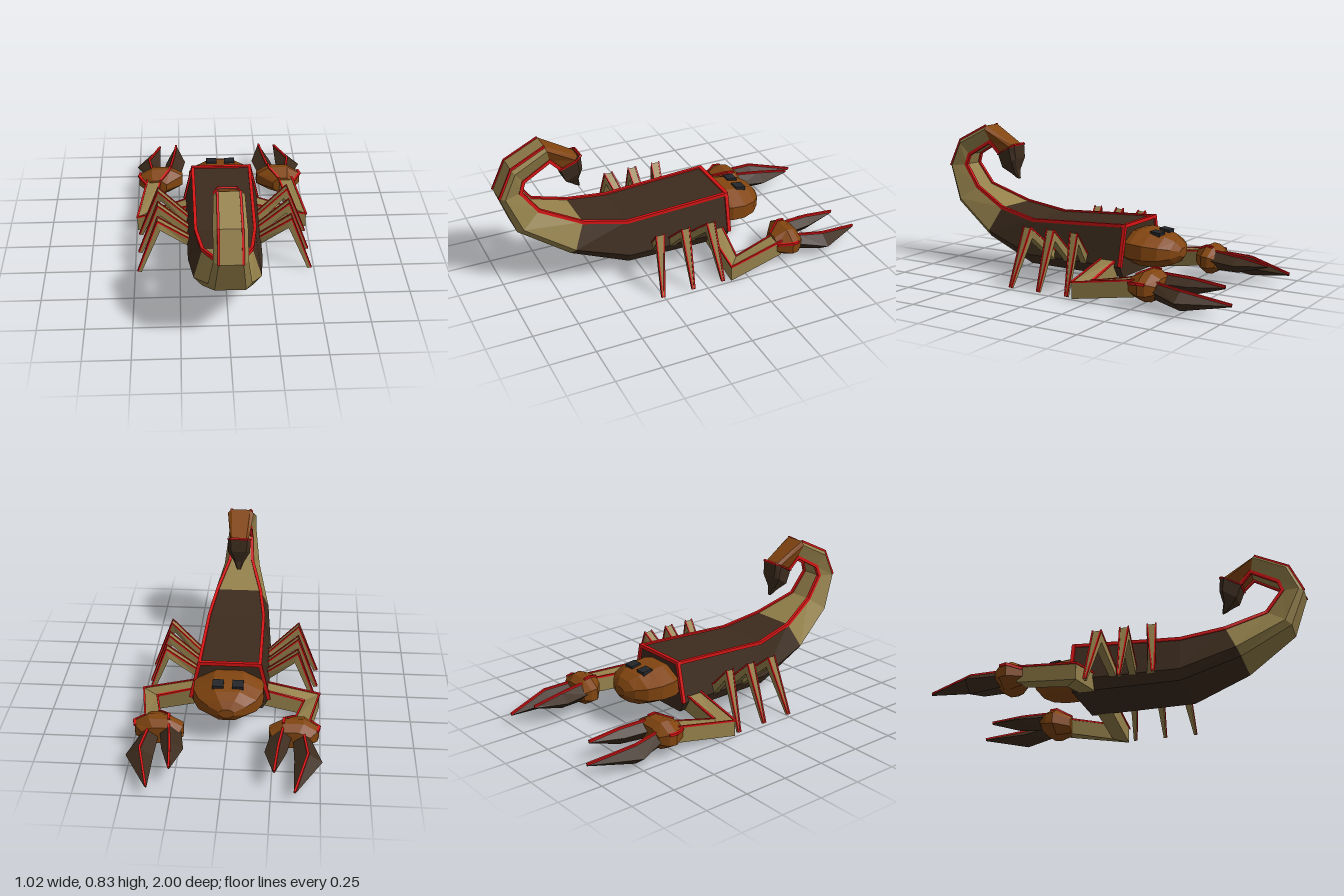
import * as THREE from 'three';

const V = (x, y, z) => new THREE.Vector3(x, y, z);
const X = V(1, 0, 0), Y = V(0, 1, 0), Z = V(0, 0, 1);
const mat = (color) => new THREE.MeshStandardMaterial({ color, flatShading: true });
const DARK = mat(0x3d2c1e), TAN = mat(0x94804a), ORANGE = mat(0x824510), RED = mat(0xd81414), EYE = mat(0x24262a);

// Closed, flat-shaded skin over a row of rings; the winding is turned outwards by signed volume
function loft(parent, name, rings, material) {
  const n = rings[0].length, tris = [];
  for (let i = 0; i < rings.length - 1; i++) {
    for (let j = 0; j < n; j++) {
      const k = (j + 1) % n, a = rings[i][j], b = rings[i][k], c = rings[i + 1][k], d = rings[i + 1][j];
      tris.push([a, b, c], [a, c, d]);
    }
  }
  const first = rings[0], last = rings[rings.length - 1];
  for (let j = 1; j < n - 1; j++) {
    tris.push([first[0], first[j + 1], first[j]], [last[0], last[j], last[j + 1]]);
  }
  const o = first[0];
  let volume = 0;
  for (const [a, b, c] of tris) {
    volume += a.clone().sub(o).dot(b.clone().sub(o).cross(c.clone().sub(o)));
  }
  if (volume < 0) tris.forEach((t) => t.reverse());
  const geometry = new THREE.BufferGeometry().setFromPoints(tris.flat());
  geometry.computeVertexNormals();
  const mesh = new THREE.Mesh(geometry, material);
  mesh.name = name;
  parent.add(mesh);
  return mesh;
}

// Mitred rectangular rings along a path; w is the half-size along ref, h across it
function pathRings(points, sizes, ref) {
  return points.map((p, i) => {
    const before = i > 0 ? p.clone().sub(points[i - 1]).normalize() : null;
    const after = i < points.length - 1 ? points[i + 1].clone().sub(p).normalize() : null;
    const t = (before || after).clone().add(after || before).normalize();
    const stretch = 1 / Math.max(0.5, t.dot(before || after));
    const across = t.clone().cross(ref).normalize();
    const [w, h] = sizes[i];
    return [[1, 1], [-1, 1], [-1, -1], [1, -1]].map(([a, b]) =>
      p.clone().addScaledVector(ref, a * w).addScaledVector(across, b * h * stretch));
  });
}

// Thin red strip along a row of points
function trim(parent, name, points, r, ref) {
  loft(parent, name, pathRings(points, points.map(() => [r, r]), ref), RED);
}

// Eight-sided ring facing z
function octagon(cx, cy, z, hw, hh) {
  return Array.from({ length: 8 }, (_, i) => {
    const a = (i + 0.5) * Math.PI / 4, k = 1 / Math.cos(Math.PI / 8);
    return V(cx + Math.cos(a) * hw * k, cy + Math.sin(a) * hh * k, z);
  });
}

// Six-sided body ring from its inner (top) and outer (bottom) edge
function bodyRing([zi, yi, zo, yo, wi, wm, wo]) {
  const zm = zo + (zi - zo) * 0.22, ym = yo + (yi - yo) * 0.22;
  return [V(wi, yi, zi), V(wm, ym, zm), V(wo, yo, zo), V(-wo, yo, zo), V(-wm, ym, zm), V(-wi, yi, zi)];
}

function buildBody(parent) {
  const rings = [
    [-0.27, 0.355, -0.27, 0.075, 0.165, 0.215, 0.18],
    [0.33, 0.325, 0.33, 0.08, 0.16, 0.205, 0.175],
    [0.57, 0.37, 0.65, 0.197, 0.13, 0.178, 0.135],
    [0.79, 0.465, 0.92, 0.37, 0.07, 0.11, 0.078],
    [0.88, 0.59, 0.996, 0.577, 0.06, 0.086, 0.06],
    [0.86, 0.65, 0.922, 0.735, 0.055, 0.085, 0.058],
    [0.71, 0.735, 0.735, 0.828, 0.05, 0.078, 0.056],
    [0.645, 0.665, 0.55, 0.722, 0.04, 0.055, 0.042],
  ].map(bodyRing);
  loft(parent, 'body', rings.slice(0, 3), DARK);
  loft(parent, 'tail', rings.slice(2, 7), TAN);
  loft(parent, 'tailEnd', rings.slice(6), ORANGE);

  const stinger = [
    [0.655, 0.665, 0.538, 0.725, 0.05, 0.068, 0.05],
    [0.625, 0.59, 0.53, 0.645, 0.05, 0.065, 0.045],
    [0.585, 0.555, 0.545, 0.575, 0.02, 0.03, 0.02],
    [0.555, 0.53, 0.535, 0.525, 0.008, 0.012, 0.008],
  ].map(bodyRing);
  loft(parent, 'stinger', stinger, DARK);
  trim(parent, 'stingerTrim', [...stinger[0], stinger[0][0]], 0.005, V(0, 0.88, -0.46).normalize());

  // Red ridges along the back, the tail and the front rim
  for (const k of [0, 5]) trim(parent, 'ridgeTrim', rings.slice(0, 8).map((r) => r[k]), 0.009, X);
  for (const k of [2, 3]) trim(parent, 'tailTrim', rings.slice(4, 7).map((r) => r[k]), 0.006, X);
  trim(parent, 'frontTrim', [1, 0, 5, 4].map((k) => rings[0][k]), 0.01, Z);
}

function buildHead(parent) {
  loft(parent, 'head', [
    octagon(0, 0.225, -0.265, 0.17, 0.09),
    octagon(0, 0.225, -0.31, 0.19, 0.098),
    octagon(0, 0.22, -0.385, 0.188, 0.094),
    octagon(0, 0.215, -0.46, 0.155, 0.082),
    octagon(0, 0.212, -0.51, 0.1, 0.06),
    octagon(0, 0.21, -0.54, 0.04, 0.025),
  ], ORANGE);
  for (const s of [1, -1]) {
    const eye = new THREE.Mesh(new THREE.BoxGeometry(0.06, 0.035, 0.06), EYE);
    eye.name = 'eye';
    eye.position.set(s * 0.053, 0.303, -0.408);
    eye.rotation.x = -0.12;
    parent.add(eye);
  }
}

function buildLeg(parent, s, zRoot, zKnee, zTip) {
  const points = [V(s * 0.18, 0.135, zRoot), V(s * 0.36, 0.3, zKnee), V(s * 0.474, 0.01, zTip)];
  const rings = pathRings(points, [[0.018, 0.022], [0.023, 0.018], [0.006, 0.01]], Z);
  loft(parent, 'leg', rings, TAN);
  // Trim follows the two upper edges
  const upper = rings[1][0].y > rings[1][2].y ? [0, 1] : [2, 3];
  for (const k of upper) trim(parent, 'legTrim', rings.map((r) => r[k]), 0.004, Z);
}

// Four-sided finger: [z, inner x, ridge x, outer x, bottom y, edge y, top y]
function buildFinger(parent, s, name, rows) {
  const rings = rows.map(([z, xi, xr, xo, yb, ye, yt]) =>
    [V(s * xi, ye, z), V(s * xr, yt, z), V(s * xo, ye, z), V(s * xr, yb, z)]);
  loft(parent, name, rings, DARK);
  trim(parent, name + 'Trim', rings.map((r) => r[1]), 0.006, X);
}

function buildClaw(parent, s) {
  const arm = [V(s * 0.17, 0.125, -0.19), V(s * 0.452, 0.055, -0.18), V(s * 0.4, 0.1, -0.48)];
  const rings = pathRings(arm, [[0.05, 0.045], [0.045, 0.035], [0.045, 0.04]], Y);
  loft(parent, 'arm', rings, TAN);
  for (const k of [0, 3]) trim(parent, 'armTrim', rings.map((r) => r[k]), 0.005, Y);

  const hand = [
    octagon(s * 0.385, 0.105, -0.455, 0.06, 0.05),
    octagon(s * 0.36, 0.11, -0.53, 0.132, 0.078),
    octagon(s * 0.355, 0.108, -0.57, 0.128, 0.075),
    octagon(s * 0.345, 0.105, -0.61, 0.1, 0.048),
  ];
  loft(parent, 'hand', hand, ORANGE);
  for (const k of s > 0 ? [2, 0] : [1, 3]) {
    trim(parent, 'handTrim', hand.slice(0, 3).map((r) => r[k]), 0.007, X);
  }

  buildFinger(parent, s, 'outerFinger', [
    [-0.59, 0.355, 0.41, 0.45, 0.05, 0.1, 0.14],
    [-0.75, 0.365, 0.435, 0.51, 0.02, 0.075, 0.125],
    [-1.0, 0.367, 0.372, 0.378, 0.062, 0.067, 0.072],
  ]);
  buildFinger(parent, s, 'innerFinger', [
    [-0.59, 0.235, 0.3, 0.35, 0.06, 0.12, 0.165],
    [-0.735, 0.21, 0.28, 0.325, 0.065, 0.115, 0.155],
    [-0.915, 0.26, 0.265, 0.27, 0.118, 0.123, 0.13],
  ]);
}

export function createModel() {
  const model = new THREE.Group();
  model.name = 'scorpion';
  const part = (name) => {
    const group = new THREE.Group();
    group.name = name;
    model.add(group);
    return group;
  };
  buildBody(part('bodyAndTail'));
  buildHead(part('headGroup'));
  for (const s of [1, -1]) {
    const side = s > 0 ? 'left' : 'right';
    const legs = part(side + 'Legs');
    buildLeg(legs, s, -0.03, -0.075, -0.1);
    buildLeg(legs, s, 0.075, 0.075, 0.08);
    buildLeg(legs, s, 0.17, 0.225, 0.26);
    buildClaw(part(side + 'Claw'), s);
  }
  return model;
}
